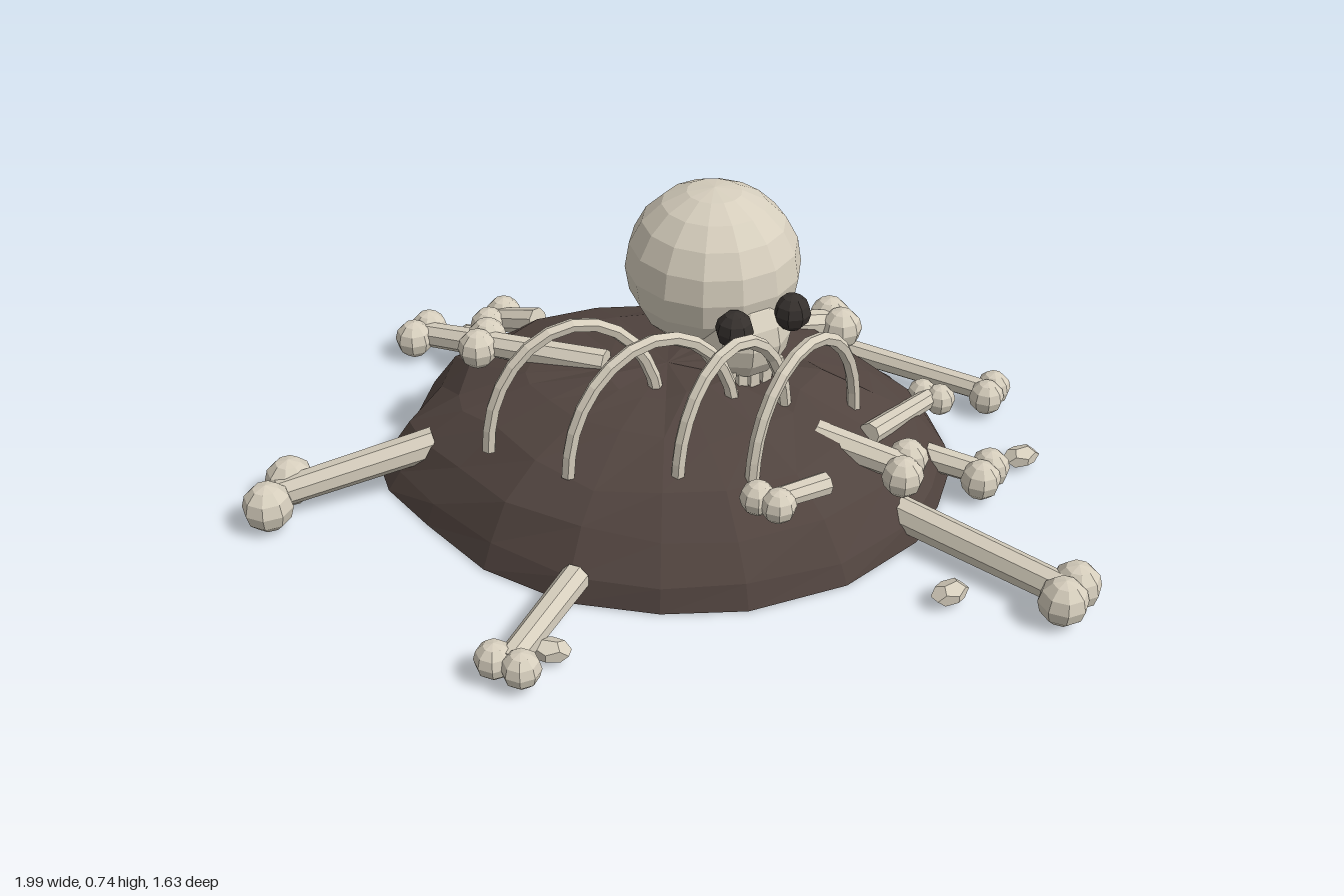
import * as THREE from 'three';

const mat = (name, color, extra = {}) => {
  const m = new THREE.MeshStandardMaterial({ color, flatShading: true, ...extra });
  m.name = name;
  return m;
};
const bone = mat('bone', 0xd6cebd);
const dirt = mat('dirt', 0x51443f);
const dark = mat('socket', 0x35302d);

// repeatable noise in -0.5..0.5
const noise = (n) => {
  const s = Math.sin(n * 127.1 + 11.7) * 43758.5453;
  return s - Math.floor(s) - 0.5;
};

function add(parent, name, geometry, material, pos = [0, 0, 0]) {
  const m = new THREE.Mesh(geometry, material);
  m.name = name;
  m.position.set(...pos);
  parent.add(m);
  return m;
}

// irregular heap: the ground outline shrunk and lifted ring by ring
function moundGeometry() {
  const outline = [
    [0.04, -0.61], [0.30, -0.57], [0.47, -0.50], [0.62, -0.36], [0.72, -0.19],
    [0.74, -0.05], [0.68, 0.13], [0.61, 0.27], [0.43, 0.43], [0.20, 0.52],
    [0, 0.53], [-0.21, 0.49], [-0.41, 0.37], [-0.56, 0.20], [-0.67, 0.06],
    [-0.70, -0.03], [-0.65, -0.21], [-0.60, -0.35], [-0.45, -0.51], [-0.23, -0.59],
  ];
  const rings = [[1, 0], [0.975, 0.06], [0.87, 0.15], [0.72, 0.22], [0.5, 0.28], [0.25, 0.305]];
  const cx = 0.02, cz = -0.04, n = outline.length;
  const p = [], index = [];
  rings.forEach(([s, y], r) => outline.forEach(([x, z], i) => {
    const k = r ? s + noise(r * 31 + i) * 0.05 : s;
    p.push(cx + (x - cx) * k, r ? y + noise(r * 57 + i * 3) * 0.025 : 0, cz + (z - cz) * k);
  }));
  const top = p.length / 3;
  p.push(cx, 0.31, cz, cx, 0, cz);
  for (let i = 0; i < n; i++) {
    const j = (i + 1) % n;
    for (let r = 0; r < rings.length - 1; r++) {
      const a = r * n + i, b = r * n + j;
      index.push(a, a + n, b, b, a + n, b + n);
    }
    const last = (rings.length - 1) * n;
    index.push(last + i, top, last + j, top + 1, i, j);
  }
  const g = new THREE.BufferGeometry();
  g.setAttribute('position', new THREE.Float32BufferAttribute(p, 3));
  g.setIndex(index);
  g.computeVertexNormals();
  return g;
}

// round shaft between two points
function shaft(parent, a, b, r) {
  const dir = b.clone().sub(a);
  const m = add(parent, 'shaft', new THREE.CylinderGeometry(r * 0.9, r, dir.length(), 8), bone);
  m.position.copy(a).addScaledVector(dir, 0.5);
  m.quaternion.setFromUnitVectors(new THREE.Vector3(0, 1, 0), dir.normalize());
}

// pair of knobs closing one bone end; returns their midpoint
function knobs(parent, [x1, z1, x2, z2], y, r) {
  for (const [x, z] of [[x1, z1], [x2, z2]])
    add(parent, 'knob', new THREE.SphereGeometry(r, 8, 6), bone, [x, y, z]);
  return new THREE.Vector3((x1 + x2) / 2, y, (z1 + z2) / 2);
}

export function createModel() {
  const model = new THREE.Group();
  model.name = 'bonePile';
  add(model, 'mound', moundGeometry(), dirt);

  // half-buried bones: knob pair (x, z, x, z), height, knob radius, buried end, shaft radius
  const buried = [
    [[-0.90, 0.10, -0.935, 0.205], 0.06, 0.062, [-0.55, 0.13, 0.04], 0.04],
    [[-0.355, 0.735, -0.295, 0.765], 0.052, 0.045, [-0.19, 0.06, 0.47], 0.035],
    [[0.935, 0.50, 0.895, 0.555], 0.058, 0.058, [0.57, 0.06, 0.23], 0.042],
    [[0.585, 0.19, 0.565, 0.26], 0.185, 0.05, [0.37, 0.22, 0.14], 0.038],
    [[0.815, 0.045, 0.785, 0.095], 0.055, 0.05, [0.62, 0.07, -0.01], 0.035],
    [[0.67, -0.165, 0.71, -0.14], 0.135, 0.04, [0.50, 0.20, 0.11], 0.028],
    [[0.45, -0.41, 0.475, -0.35], 0.22, 0.055, [0.24, 0.26, -0.29], 0.038],
    [[0.27, -0.72, 0.325, -0.70], 0.06, 0.04, [0.23, 0.07, -0.53], 0.032],
    [[-0.64, -0.625, -0.675, -0.57], 0.055, 0.052, [-0.40, 0.08, -0.48], 0.038],
    [[-0.42, -0.525, -0.455, -0.465], 0.16, 0.05, [-0.32, 0.2, -0.42], 0.036],
    [[-0.43, -0.185, -0.45, -0.13], 0.295, 0.05, [-0.13, 0.30, -0.05], 0.036],
    [[0.22, 0.39, 0.265, 0.42], 0.222, 0.042, [0.38, 0.21, 0.32], 0.028],
  ];
  for (const [pair, y, r, inner, sr] of buried) {
    const g = new THREE.Group();
    g.name = 'buriedBone';
    model.add(g);
    shaft(g, new THREE.Vector3(...inner), knobs(g, pair, y, r), sr);
  }

  // whole long bone lying behind the mound
  const long = new THREE.Group();
  long.name = 'longBone';
  model.add(long);
  shaft(long, knobs(long, [0.11, -0.73, 0.145, -0.775], 0.05, 0.045),
    knobs(long, [0.885, -0.325, 0.86, -0.28], 0.05, 0.046), 0.033);

  // rib arches: foot (x, z) to foot (x, z), top height
  const ribs = [
    [-0.40, 0.20, 0.0, 0.05, 0.515],
    [-0.21, 0.305, 0.18, 0.085, 0.515],
    [0.04, 0.33, 0.30, 0.08, 0.51],
    [0.21, 0.325, 0.47, 0.025, 0.495],
  ];
  for (const [x1, z1, x2, z2, top] of ribs) {
    const pts = [];
    for (let i = 0; i <= 10; i++) {
      const a = (i / 10) * Math.PI, t = (1 - Math.cos(a)) / 2;
      pts.push(new THREE.Vector3(x1 + (x2 - x1) * t, 0.22 + (top - 0.22) * Math.sin(a), z1 + (z2 - z1) * t));
    }
    const curve = new THREE.CatmullRomCurve3(pts);
    add(model, 'rib', new THREE.TubeGeometry(curve, 14, 0.017, 6), bone);
  }

  // skull, turned toward its left
  const skull = new THREE.Group();
  skull.name = 'skull';
  skull.position.set(0.13, 0.53, -0.14);
  skull.rotation.y = Math.PI / 6;
  model.add(skull);
  add(skull, 'cranium', new THREE.SphereGeometry(0.213, 14, 10), bone).scale.set(1, 0.96, 1.02);
  add(skull, 'face', new THREE.SphereGeometry(0.12, 10, 8), bone, [0, -0.115, 0.13]);
  for (const s of [-1, 1])
    add(skull, 'eyeSocket', new THREE.SphereGeometry(0.046, 8, 6), dark, [s * 0.08, -0.045, 0.225]);
  for (let i = 0; i < 5; i++)
    add(skull, 'tooth', new THREE.BoxGeometry(0.026, 0.06, 0.03), bone, [(i - 2) * 0.034, -0.215, 0.185]);

  // loose bone chips around the rim
  const chips = [[-0.52, -0.635], [0.42, -0.695], [0.91, -0.04], [0.655, 0.49], [-0.24, 0.68]];
  chips.forEach(([x, z], i) => {
    const chip = add(model, 'boneChip', new THREE.DodecahedronGeometry(0.04, 0), bone, [x, 0.03, z]);
    chip.scale.set(1.25, 0.65, 0.85);
    chip.rotation.y = noise(i + 5) * 1.2;
  });

  return model;
}
